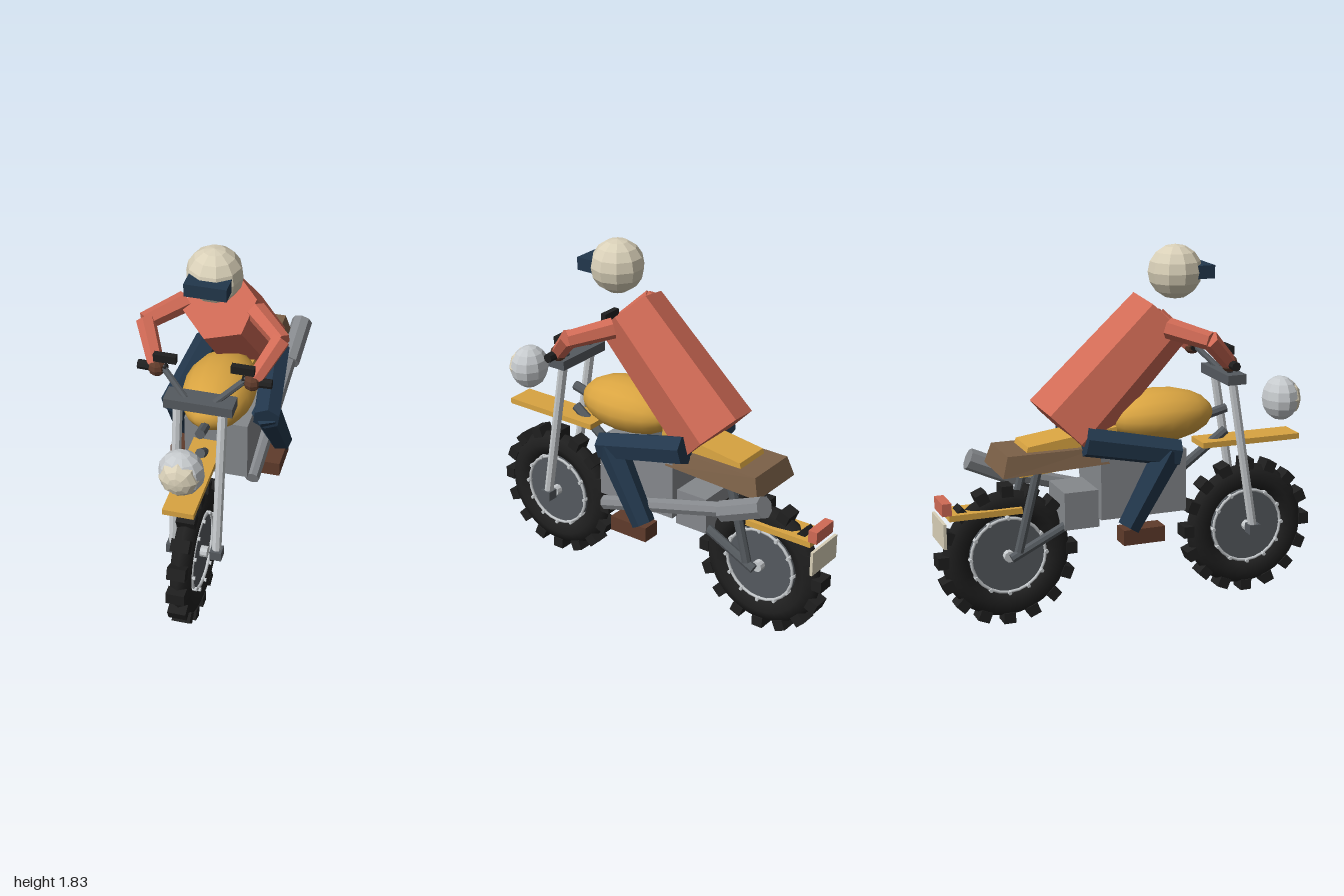
import * as THREE from 'three';

const mat = (name, color) => {
  const m = new THREE.MeshStandardMaterial({ color });
  m.name = name;
  return m;
};
const M = {
  gold: mat('gold paint', 0xd9a441),
  red: mat('jacket red', 0xd06a55),
  navy: mat('denim navy', 0x22374c),
  steel: mat('dark steel', 0x555a5f),
  grey: mat('engine grey', 0x85888c),
  chrome: mat('chrome', 0xc6cacd),
  cream: mat('cream', 0xd9d0b8),
  black: mat('rubber black', 0x1f1f1f),
  seat: mat('seat brown', 0x7b6047),
  leather: mat('leather brown', 0x5f3b2b),
};
const V = (x, y, z) => new THREE.Vector3(x, y, z);

// Faceted normals
function flat(geo) {
  const g = geo.index ? geo.toNonIndexed() : geo;
  g.computeVertexNormals();
  return g;
}

export function createModel() {
  const root = new THREE.Group();
  root.name = 'motorcycleWithRider';

  const add = (name, geo, material, x = 0, y = 0, z = 0, parent = root) => {
    const mesh = new THREE.Mesh(geo, material);
    mesh.name = name;
    mesh.position.set(x, y, z);
    parent.add(mesh);
    return mesh;
  };
  // Box given by its ranges along each axis
  const box = (name, material, x0, x1, y0, y1, z0, z1) =>
    add(name, new THREE.BoxGeometry(x1 - x0, y1 - y0, z1 - z0), material,
      (x0 + x1) / 2, (y0 + y1) / 2, (z0 + z1) / 2);
  // Faceted rod from a to b
  const rod = (name, material, a, b, ra, rb = ra, sides = 8, twist = 0) => {
    const geo = new THREE.CylinderGeometry(rb, ra, a.distanceTo(b), sides);
    geo.rotateY(twist);
    const mesh = add(name, flat(geo), material);
    mesh.position.copy(a).lerp(b, 0.5);
    mesh.quaternion.setFromUnitVectors(V(0, 1, 0), b.clone().sub(a).normalize());
    return mesh;
  };
  // Six-sided block; each end is [halfWidth, y at back, y at front, zBack, zFront]
  const wedge = (name, material, bottom, top) => {
    const geo = new THREE.BoxGeometry(2, 2, 2);
    const p = geo.attributes.position;
    for (let i = 0; i < p.count; i++) {
      const [w, yb, yf, zb, zf] = p.getY(i) > 0 ? top : bottom;
      const front = p.getZ(i) > 0;
      p.setXYZ(i, p.getX(i) * w, front ? yf : yb, front ? zf : zb);
    }
    return add(name, flat(geo), material);
  };

  // Wheels: tyre, tread blocks, disc, rim with spoke nipples, hub
  const tyreGeo = new THREE.TorusGeometry(0.256, 0.068, 8, 32).rotateY(Math.PI / 2).scale(0.78, 1, 1);
  const discGeo = flat(new THREE.CylinderGeometry(0.195, 0.195, 0.06, 24).rotateZ(Math.PI / 2));
  const rimGeo = new THREE.TorusGeometry(0.19, 0.008, 6, 24).rotateY(Math.PI / 2);
  const hubGeo = flat(new THREE.CylinderGeometry(0.028, 0.028, 0.13, 10).rotateZ(Math.PI / 2));
  const nippleGeo = flat(new THREE.CylinderGeometry(0.01, 0.01, 0.11, 6).rotateZ(Math.PI / 2));
  const blockGeo = new THREE.BoxGeometry(0.09, 0.055, 0.06);
  for (const [name, z] of [['frontWheel', 0.645], ['rearWheel', -0.645]]) {
    const wheel = new THREE.Group();
    wheel.name = name;
    wheel.position.set(0, 0.355, z);
    root.add(wheel);
    add('tyre', tyreGeo, M.black, 0, 0, 0, wheel);
    add('wheelDisc', discGeo, M.steel, 0, 0, 0, wheel);
    add('hub', hubGeo, M.chrome, 0, 0, 0, wheel);
    for (const s of [-1, 1]) add('rim', rimGeo, M.chrome, s * 0.038, 0, 0, wheel);
    for (let i = 0; i < 16; i++) {
      const a = (i / 16) * Math.PI * 2;
      add('treadBlock', blockGeo, M.black, 0, Math.cos(a) * 0.327, Math.sin(a) * 0.327, wheel).rotation.x = a;
    }
    for (let i = 0; i < 12; i++) {
      const a = (i / 12) * Math.PI * 2;
      add('spokeNipple', nippleGeo, M.chrome, 0, Math.cos(a) * 0.193, Math.sin(a) * 0.193, wheel);
    }
  }

  // Engine and frame
  box('engine', M.grey, -0.16, 0.16, 0.52, 0.84, -0.205, 0.245);
  box('gearbox', M.grey, -0.12, 0.12, 0.475, 0.665, -0.38, -0.2);
  rod('backboneTube', M.steel, V(0, 0.985, 0.53), V(0, 0.77, -0.34), 0.025);
  rod('downTube', M.steel, V(0, 0.87, 0.53), V(0, 0.63, 0.2), 0.025);

  // Tank, tail, seat
  add('fuelTank', new THREE.SphereGeometry(1, 16, 10).rotateX(Math.PI / 2).scale(0.18, 0.135, 0.28),
    M.gold, 0, 0.985, 0.165);
  wedge('tailBody', M.gold, [0.11, 0.765, 0.8, -0.6, -0.1], [0.1, 0.91, 0.97, -0.555, -0.1]);
  wedge('seat', M.seat, [0.163, 0.785, 0.805, -0.7, -0.16], [0.14, 0.885, 0.885, -0.67, -0.2]);

  // Fenders, tail light and number plate
  box('frontFender', M.gold, -0.075, 0.075, 0.803, 0.832, 0.375, 0.915);
  box('rearFender', M.gold, -0.075, 0.075, 0.573, 0.603, -0.945, -0.58);
  box('tailLight', M.red, -0.075, 0.075, 0.603, 0.665, -0.98, -0.933);
  box('numberPlate', M.cream, -0.11, 0.11, 0.45, 0.575, -0.985, -0.97);

  // Exhaust on the left side
  rod('exhaustPipe', M.grey, V(0.175, 0.485, 0.205), V(0.195, 0.705, -0.56), 0.038);
  rod('muffler', M.grey, V(0.195, 0.688, -0.53), V(0.21, 0.795, -0.77), 0.055);

  // Headlight
  add('headlightShell', flat(new THREE.SphereGeometry(0.115, 10, 8).scale(0.95, 1, 0.82)),
    M.chrome, 0, 1.01, 0.84);
  add('headlightLens', flat(new THREE.SphereGeometry(0.095, 8, 8).rotateX(Math.PI / 2).scale(1, 1, 0.65)),
    M.cream, 0, 1.01, 0.88);

  // Steering clamp
  box('forkClamp', M.steel, -0.165, 0.165, 1.14, 1.19, 0.465, 0.565);

  // Rider's torso and helmet
  rod('jacket', M.red, V(0, 0.963, -0.355), V(0, 1.48, 0.165), 0.205, 0.178, 6, -0.25);
  add('helmet', flat(new THREE.SphereGeometry(0.135, 10, 8)), M.cream, 0, 1.7, 0.245);
  box('visor', M.navy, -0.1, 0.1, 1.67, 1.735, 0.3, 0.415);

  // Mirrored parts
  for (const s of [-1, 1]) {
    const P = (x, y, z) => V(s * x, y, z);
    const sideBox = (name, m, x0, x1, ...r) =>
      box(name, m, Math.min(s * x0, s * x1), Math.max(s * x0, s * x1), ...r);

    // Fork, handlebar and mirrors
    rod('forkLeg', M.chrome, P(0.108, 0.36, 0.645), P(0.108, 1.15, 0.515), 0.024);
    sideBox('axleBlock', M.steel, 0.08, 0.138, 0.335, 0.385, 0.615, 0.675);
    rod('handlebar', M.steel, P(0.07, 1.18, 0.52), P(0.2, 1.28, 0.44), 0.016);
    rod('grip', M.black, P(0.18, 1.27, 0.44), P(0.32, 1.27, 0.435), 0.023);
    sideBox('mirror', M.black, 0.13, 0.24, 1.315, 1.355, 0.43, 0.46);

    // Rear suspension
    rod('swingArm', M.steel, P(0.09, 0.5, -0.35), P(0.09, 0.355, -0.645), 0.024);
    rod('shock', M.steel, P(0.1, 0.79, -0.51), P(0.1, 0.39, -0.61), 0.024);

    // Arms and gloves
    rod('upperArm', M.red, P(0.17, 1.455, 0.14), P(0.33, 1.41, 0.29), 0.052, 0.045, 6);
    rod('forearm', M.red, P(0.325, 1.42, 0.285), P(0.235, 1.28, 0.43), 0.047, 0.04, 6);
    add('glove', flat(new THREE.SphereGeometry(0.043, 8, 6)), M.leather, s * 0.228, 1.27, 0.44);

    // Legs and boots
    rod('thigh', M.navy, P(0.175, 0.93, -0.29), P(0.235, 0.845, 0.17), 0.075, 0.07, 6);
    rod('shin', M.navy, P(0.225, 0.86, 0.125), P(0.255, 0.5, -0.1), 0.075, 0.058, 6);
    sideBox('boot', M.leather, 0.19, 0.288, 0.42, 0.497, -0.135, 0.08);
  }
  return root;
}
